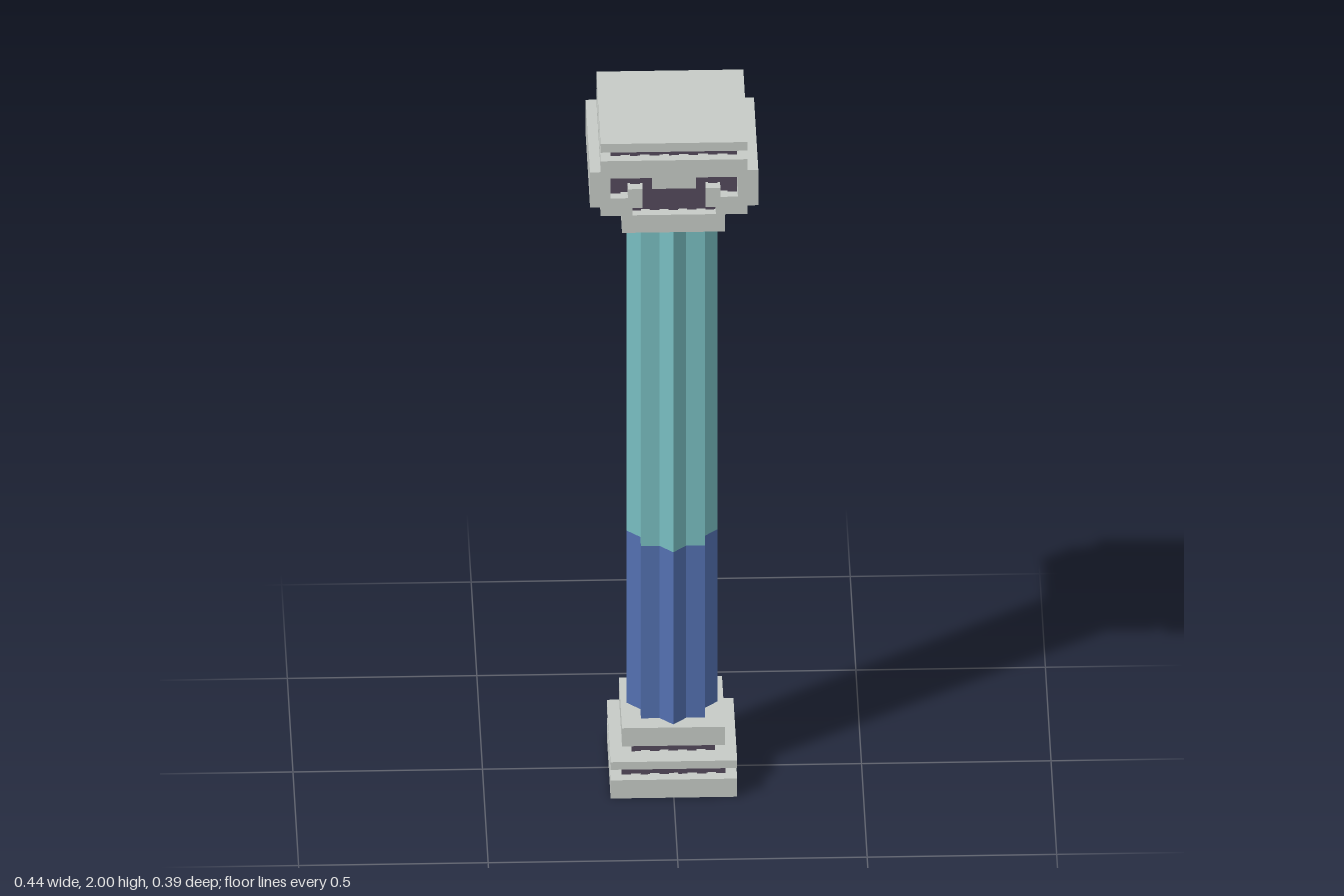
import * as THREE from 'three';

const mat = (name, color) => {
  const m = new THREE.MeshStandardMaterial({ color });
  m.name = name;
  return m;
};

export function createModel() {
  const stone = mat('pale stone', 0xc6cbc6);
  const teal = mat('teal', 0x78bec1);
  const blue = mat('blue', 0x5370b0);
  const dark = mat('dark purple', 0x544a5c);
  const model = new THREE.Group();

  const add = (name, geometry, material) => {
    const mesh = new THREE.Mesh(geometry, material);
    mesh.name = name;
    model.add(mesh);
    return mesh;
  };

  // Square slab between two heights
  const slab = (name, half, y0, y1) =>
    add(name, new THREE.BoxGeometry(2 * half, y1 - y0, 2 * half).translate(0, (y0 + y1) / 2, 0), stone);

  // Upright prism from a closed outline in plan
  const prism = (name, points, y0, y1, material) => {
    const geo = new THREE.ExtrudeGeometry(new THREE.Shape(points), { depth: y1 - y0, bevelEnabled: false });
    geo.rotateX(-Math.PI / 2).translate(0, y0, 0);
    return add(name, geo, material);
  };

  // Square outline with shallow teeth along each side
  const toothedSquare = (half) => {
    const points = [];
    const teeth = 2 * Math.round(half / 0.026) + 1;
    const pitch = (2 * half) / teeth;
    for (let side = 0; side < 4; side++) {
      for (let i = 0; i < teeth; i++) {
        const inset = i % 2 ? 0.006 : 0;
        for (const k of [i, i + 1]) {
          if (k === teeth) continue; // the next side supplies this corner
          points.push(new THREE.Vector2(-half + k * pitch, -half + inset)
            .rotateAround(new THREE.Vector2(), side * Math.PI / 2));
        }
      }
    }
    return points;
  };
  const neck = (name, half, y0, y1) => prism(name, toothedSquare(half), y0, y1, dark);

  // Stepped base
  slab('plinth', 0.167, 0, 0.055);
  neck('lowerBaseNeck', 0.137, 0.055, 0.087);
  slab('baseSlab', 0.167, 0.087, 0.11);
  neck('upperBaseNeck', 0.11, 0.11, 0.14);
  slab('baseBlock', 0.136, 0.14, 0.195);

  // Eight-pointed star shaft in two colours
  const star = [];
  for (let i = 0; i < 16; i++) {
    const r = i % 2 ? 0.0915 : 0.1195;
    const a = i * Math.PI / 8;
    star.push(new THREE.Vector2(r * Math.cos(a), r * Math.sin(a)));
  }
  prism('lowerShaft', star, 0.195, 0.717, blue);
  prism('upperShaft', star, 0.717, 1.697, teal);

  // Capital block and dark core
  slab('capitalBlock', 0.136, 1.697, 1.75);
  neck('capitalNeck', 0.11, 1.75, 1.79);
  neck('capitalCore', 0.167, 1.785, 1.974);

  // Scroll section: half outline from the bottom opening round to the top
  const inner = [
    [0.058, 1.862], [0.058, 1.895], [0.168, 1.895], [0.168, 1.835], [0.122, 1.835],
    [0.122, 1.862], [0.083, 1.862], [0.083, 1.805], [0.11, 1.805], [0.11, 1.782],
  ];
  const outer = [
    [0.194, 1.782], [0.194, 1.808], [0.222, 1.808], [0.222, 1.915], [0.194, 1.915], [0.194, 1.948],
  ];
  const half = [...inner, ...outer];
  const mirrored = half.map(([x, y]) => [-x, y]).reverse();
  const outline = [...half, ...mirrored].map(([x, y]) => new THREE.Vector2(x, y));
  add('scrolls', new THREE.ExtrudeGeometry(new THREE.Shape(outline), { depth: 0.388, bevelEnabled: false })
    .translate(0, 0, -0.194), stone);

  // Top slab
  slab('topSlab', 0.194, 1.974, 2);

  return model;
}
